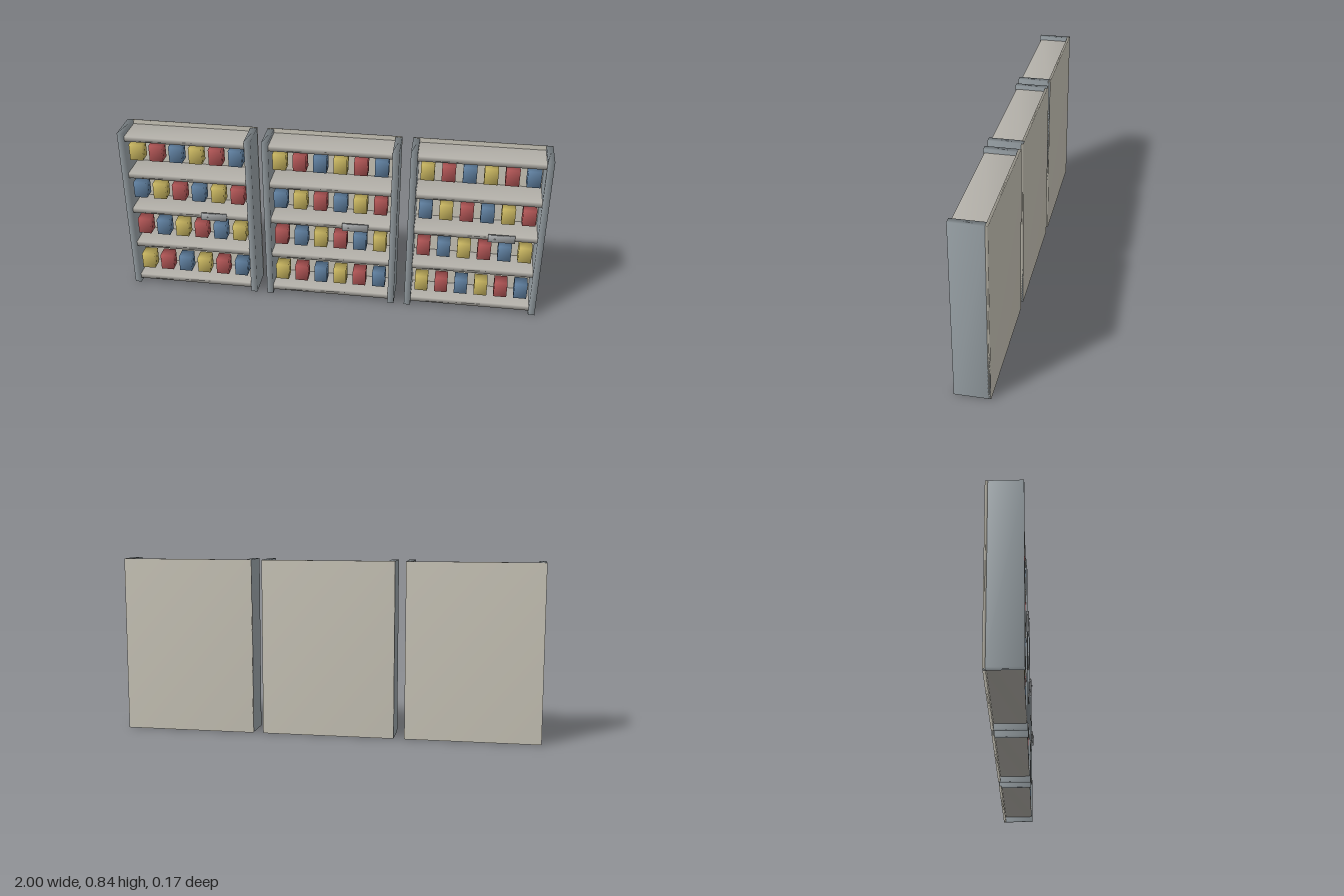
import * as THREE from 'three';
import { mergeVertices } from 'three/addons/utils/BufferGeometryUtils.js';

const mat = (color) => new THREE.MeshStandardMaterial({ color });
const panelMat = mat(0xc9c5b8);
const uprightMat = mat(0x9aa3a8);
const shelfMat = mat(0xb2afa8);
const tagMat = mat(0x999c9e);
const boxMats = [mat(0xc8b560), mat(0xb05555), mat(0x5f7f9f)];

// Box with shared corners, so the shading runs smoothly over its edges
function softBox(w, h, d) {
  const g = new THREE.BoxGeometry(w, h, d);
  g.deleteAttribute('normal');
  g.deleteAttribute('uv');
  const merged = mergeVertices(g);
  merged.computeVertexNormals();
  return merged;
}

function add(parent, name, geometry, material, x, y, z) {
  const mesh = new THREE.Mesh(geometry, material);
  mesh.name = name;
  mesh.position.set(x, y, z);
  parent.add(mesh);
  return mesh;
}

const WIDTH = 0.633, HEIGHT = 0.836, POST = 0.031;
const SHELF_Y = [0.034, 0.227, 0.42, 0.612, 0.806];
const ITEM_Y = [0.737, 0.535, 0.332, 0.127];

const panelGeo = softBox(WIDTH, HEIGHT, 0.012);
const postGeo = softBox(POST, HEIGHT, 0.157);
const shelfGeo = softBox(WIDTH - 0.01, 0.025, 0.144);
const itemGeo = softBox(0.062, 0.08, 0.062);
const tagGeo = softBox(0.124, 0.035, 0.012);
const knobGeo = new THREE.CylinderGeometry(0.004, 0.004, 0.008, 12).rotateX(Math.PI / 2);

function shelfUnit() {
  const unit = new THREE.Group();
  unit.name = 'shelfUnit';

  // Frame
  add(unit, 'backPanel', panelGeo, panelMat, 0, HEIGHT / 2, -0.08);
  for (const s of [-1, 1]) {
    add(unit, s > 0 ? 'leftUpright' : 'rightUpright', postGeo, uprightMat,
      s * (WIDTH - POST) / 2, HEIGHT / 2, -0.0055);
  }
  SHELF_Y.forEach((y) => add(unit, 'shelf', shelfGeo, shelfMat, 0, y, -0.004));

  // Four rows of coloured goods, the colours shifting by one each row
  ITEM_Y.forEach((y, row) => {
    for (let i = 0; i < 6; i++) {
      add(unit, 'goodsBox', itemGeo, boxMats[(i - row + 6) % 3], (i - 2.5) * 0.095, y, 0.034);
    }
  });

  // Tag plate with a small knob on the middle shelf
  add(unit, 'tagPlate', tagGeo, tagMat, 0.121, 0.422, 0.077);
  add(unit, 'tagKnob', knobGeo, tagMat, 0.09, 0.419, 0.084);
  return unit;
}

export function createModel() {
  const model = new THREE.Group();
  model.name = 'shelvingRow';
  for (const i of [-1, 0, 1]) {
    const unit = shelfUnit();
    unit.position.x = i * (1 - WIDTH / 2);
    model.add(unit);
  }
  return model;
}
